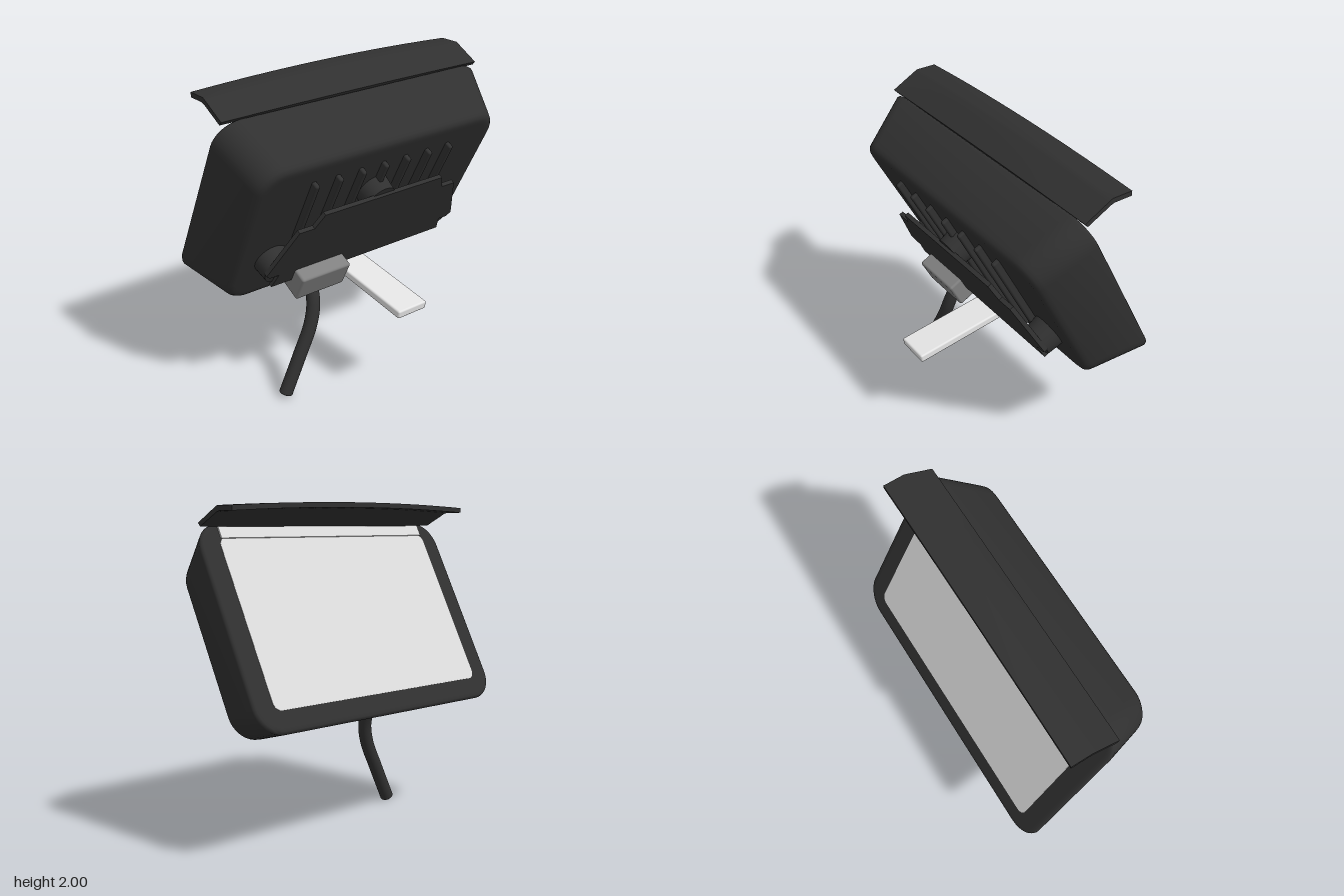
import * as THREE from 'three';
import { toCreasedNormals } from 'three/addons/utils/BufferGeometryUtils.js';
import { RoundedBoxGeometry } from 'three/addons/geometries/RoundedBoxGeometry.js';

function material(name, color) {
  const m = new THREE.MeshStandardMaterial({ color });
  m.name = name;
  return m;
}

function add(parent, name, geometry, mat, x = 0, y = 0, z = 0) {
  const mesh = new THREE.Mesh(geometry, mat);
  mesh.name = name;
  mesh.position.set(x, y, z);
  parent.add(mesh);
  return mesh;
}

// Points of a rounded rectangle as [y, z] pairs, running from +y towards +z
function roundedRing(hy, hz, r, steps = 8) {
  const points = [];
  const corners = [[1, 1], [-1, 1], [-1, -1], [1, -1]];
  corners.forEach(([sy, sz], c) => {
    for (let i = 0; i <= steps; i++) {
      const a = (c + i / steps) * Math.PI / 2;
      points.push([sy * (hy - r) + r * Math.cos(a), sz * (hz - r) + r * Math.sin(a)]);
    }
  });
  return points;
}

// Closed loft along x through rounded rectangles [x, halfHeight, halfWidth, radius]
function loft(sections) {
  const pos = [], index = [];
  const rings = sections.map(([x, hy, hz, r]) => roundedRing(hy, hz, r).map(([y, z]) => [x, y, z]));
  const n = rings[0].length;
  rings.forEach(ring => ring.forEach(p => pos.push(...p)));
  const last = (rings.length - 1) * n, front = rings.length * n;
  pos.push(sections[0][0], 0, 0, sections[sections.length - 1][0], 0, 0);
  for (let k = 0; k < n; k++) {
    const k1 = (k + 1) % n;
    for (let i = 0; i < rings.length - 1; i++) {
      const a = i * n + k, b = i * n + k1;
      index.push(a, b, a + n, b, b + n, a + n);
    }
    index.push(front, k1, k, front + 1, last + k, last + k1);
  }
  const g = new THREE.BufferGeometry();
  g.setAttribute('position', new THREE.Float32BufferAttribute(pos, 3));
  g.setIndex(index);
  return toCreasedNormals(g, 0.9);
}

export function createModel() {
  const model = new THREE.Group();
  model.name = 'displayUnit';
  const dark = material('darkPlastic', 0x303030);
  const grey = material('greyConnector', 0x808080);
  const screenGrey = material('screenGrey', 0xdcdcdc);
  const light = material('lightMetal', 0xe4e4e4);

  // Leaning head: local x points out of the back, local y runs up the screen
  const head = new THREE.Group();
  head.name = 'head';
  head.position.set(-0.55, 0.77, 0);
  head.rotation.z = -0.4815;
  model.add(head);

  add(head, 'housing', loft([
    [0, 0.59, 0.943, 0.13],
    [0, 0.612, 0.965, 0.15],
    [0.006, 0.621, 0.976, 0.16],
    [0.02, 0.626, 0.98, 0.165],
    [0.34, 0.559, 0.888, 0.16],
    [0.364, 0.552, 0.878, 0.155],
    [0.38, 0.537, 0.863, 0.145],
    [0.385, 0.515, 0.842, 0.125],
    [0.385, 0.495, 0.82, 0.105],
  ]), dark, 0, 0.626, 0);

  add(head, 'screen', loft([
    [-0.002, 0.515, 0.845, 0.05],
    [0.002, 0.515, 0.845, 0.05],
  ]), screenGrey, 0, 0.645, 0);

  // Narrow pale strip where the visor meets the front
  add(head, 'visorStrip', new THREE.BoxGeometry(0.009, 0.07, 1.66), screenGrey, -0.005, 1.19, 0);

  // Cooling fins on the back
  for (let i = -3; i <= 3; i++) {
    add(head, 'coolingFin', new RoundedBoxGeometry(0.07, 0.8, 0.032, 2, 0.012), dark, 0.395, 0.628, i * 0.169);
  }

  // Round standoffs holding the mounting plate
  for (const [y, z] of [[0.79, 0], [0.405, 0.63], [0.405, -0.63]]) {
    const boss = add(head, 'standoff', new THREE.CylinderGeometry(0.1, 0.112, 0.115, 32), dark, 0.4265, y, z);
    boss.rotation.z = -Math.PI / 2;
  }

  // Mounting plate, outlined on one side and mirrored
  const half = [[0.45, 0.855], [0.495, 0.755], [0.6, 0.755], [0.735, 0.42],
    [0.705, 0.39], [0.64, 0.39], [0.667, 0.29]];
  const outline = [...half, ...half.map(([z, y]) => [-z, y]).reverse()];
  const plateShape = new THREE.Shape(outline.map(([z, y]) => new THREE.Vector2(z, y)));
  const plate = new THREE.ExtrudeGeometry(plateShape, { depth: 0.028, bevelEnabled: false });
  plate.rotateY(Math.PI / 2);
  add(head, 'mountingPlate', plate, dark, 0.476, -0.005, 0);

  add(head, 'cableConnector', new RoundedBoxGeometry(0.22, 0.185, 0.36, 2, 0.015), grey, 0.486, 0.286, 0.34);

  // Bent sun visor, crowned across its width except where it meets the housing
  const visorShape = new THREE.Shape([[0.037, 1.888], [-0.115, 1.988], [-0.14, 2], [-0.27, 2],
    [-0.27, 1.97], [-0.155, 1.97], [-0.13, 1.962], [0.018, 1.86]].map(p => new THREE.Vector2(...p)));
  const visor = new THREE.ExtrudeGeometry(visorShape, { depth: 1.89, steps: 16, bevelEnabled: false });
  visor.translate(0, 0, -0.945);
  const vp = visor.attributes.position;
  for (let i = 0; i < vp.count; i++) {
    const y = vp.getY(i);
    const crown = 0.025 * Math.min(1, (y - 1.86) / 0.1);
    vp.setY(i, y - crown * (vp.getZ(i) / 0.945) ** 2);
  }
  add(model, 'sunVisor', toCreasedNormals(visor, 0.65), dark);

  // Flat support tongue behind the head
  const tongue = add(model, 'supportTongue', new RoundedBoxGeometry(0.67, 0.053, 0.22, 2, 0.012), light, 0.215, 0.671, 0);
  tongue.rotation.z = -0.14;

  // Cable with a softly rounded end
  const path = new THREE.CatmullRomCurve3([
    [-0.05, 0.77, 0.34], [-0.02, 0.69, 0.345], [0.025, 0.57, 0.36],
    [0.045, 0.44, 0.4], [0.052, 0.25, 0.495], [0.056, 0.027, 0.608],
  ].map(p => new THREE.Vector3(...p)));
  add(model, 'cable', new THREE.TubeGeometry(path, 40, 0.043, 20), dark);
  const end = path.getPoint(1);
  const cap = add(model, 'cableEnd', new THREE.SphereGeometry(0.043, 20, 12), dark, end.x, end.y, end.z);
  cap.scale.z = 0.4;
  cap.quaternion.setFromUnitVectors(new THREE.Vector3(0, 0, 1), path.getTangent(1));

  return model;
}
